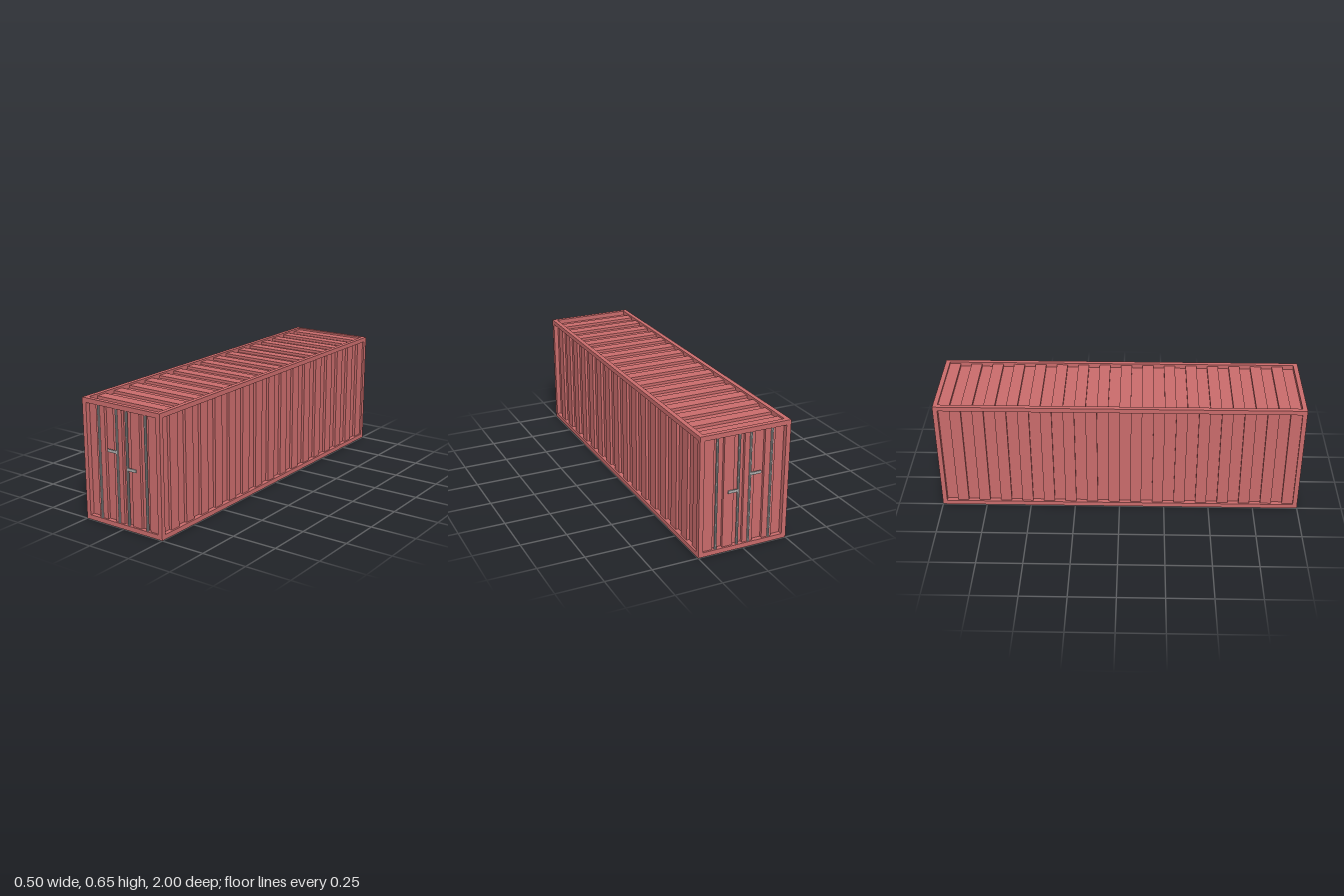
import * as THREE from 'three';

const W = 0.5, H = 0.652, L = 2, T = 0.025;
const SHALLOW = 0.01, DEEP = 0.025;

const red = new THREE.MeshStandardMaterial({ color: 0xc96b6b, flatShading: true, side: THREE.DoubleSide });
const grey = new THREE.MeshStandardMaterial({ color: 0xaaaaaa, flatShading: true });

// Square-wave sheet: ribs step along x, sheet spans y, outside faces +z
function corrugatedSheet(length, width, count) {
  const positions = [], index = [];
  const profile = [];
  for (let i = 0; i < count; i++) {
    const z = i % 2 ? -SHALLOW : -DEEP;
    const x = -length / 2 + (i * length) / count;
    profile.push([x, z], [x + length / count, z]);
  }
  profile.forEach(([x, z], i) => {
    positions.push(x, -width / 2, z, x, width / 2, z);
    if (i) {
      const a = 2 * i - 2;
      index.push(a, a + 2, a + 3, a, a + 3, a + 1);
    }
  });
  const geometry = new THREE.BufferGeometry();
  geometry.setAttribute('position', new THREE.Float32BufferAttribute(positions, 3));
  geometry.setIndex(index);
  geometry.computeVertexNormals();
  return geometry;
}

function add(parent, name, geometry, material, x, y, z) {
  const mesh = new THREE.Mesh(geometry, material);
  mesh.name = name;
  mesh.position.set(x, y, z);
  parent.add(mesh);
  return mesh;
}

// Door end facing +z, with locking rods and handles inside the frame depth
function doorEnd(name) {
  const door = new THREE.Group();
  door.name = name;
  add(door, 'doorPanel', corrugatedSheet(W - 2 * T, H - 2 * T, 8), red, 0, H / 2, L / 2);
  const rod = new THREE.CylinderGeometry(0.0068, 0.0068, H - 2 * T, 8);
  for (const x of [-0.15, -0.033, 0.031, 0.152]) add(door, 'lockingRod', rod, grey, x, H / 2, L / 2 - 0.009);
  const handle = (x0, x1, y) =>
    add(door, 'handle', new THREE.BoxGeometry(x1 - x0, 0.015, 0.006), grey, (x0 + x1) / 2, y, L / 2 - 0.006);
  handle(-0.094, -0.033, 0.401);
  handle(0.031, 0.089, 0.326);
  return door;
}

export function createModel() {
  const model = new THREE.Group();
  model.name = 'shippingContainer';

  // Frame: posts and rails along the twelve edges
  const post = new THREE.BoxGeometry(T, H, T);
  const longRail = new THREE.BoxGeometry(T, T, L - 2 * T);
  const endRail = new THREE.BoxGeometry(W - 2 * T, T, T);
  for (const a of [-1, 1]) {
    for (const b of [-1, 1]) {
      add(model, 'cornerPost', post, red, (a * (W - T)) / 2, H / 2, (b * (L - T)) / 2);
      add(model, 'longRail', longRail, red, (a * (W - T)) / 2, H / 2 + (b * (H - T)) / 2, 0);
      add(model, 'endRail', endRail, red, 0, H / 2 + (a * (H - T)) / 2, (b * (L - T)) / 2);
    }
  }

  // Long walls
  for (const s of [-1, 1]) {
    const wall = corrugatedSheet(L - 2 * T, H - 2 * T, 32).rotateY((s * Math.PI) / 2);
    add(model, s > 0 ? 'leftWall' : 'rightWall', wall, red, (s * W) / 2, H / 2, 0);
  }

  // Roof and floor
  for (const s of [-1, 1]) {
    const sheet = corrugatedSheet(L - 2 * T, W - 2 * T, 32).rotateY(Math.PI / 2).rotateZ((s * Math.PI) / 2);
    add(model, s > 0 ? 'roof' : 'floor', sheet, red, 0, s > 0 ? H : 0, 0);
  }

  // Matching doors, the rear one mirrored
  model.add(doorEnd('frontDoors'));
  const rear = doorEnd('rearDoors');
  rear.scale.z = -1;
  model.add(rear);
  return model;
}
